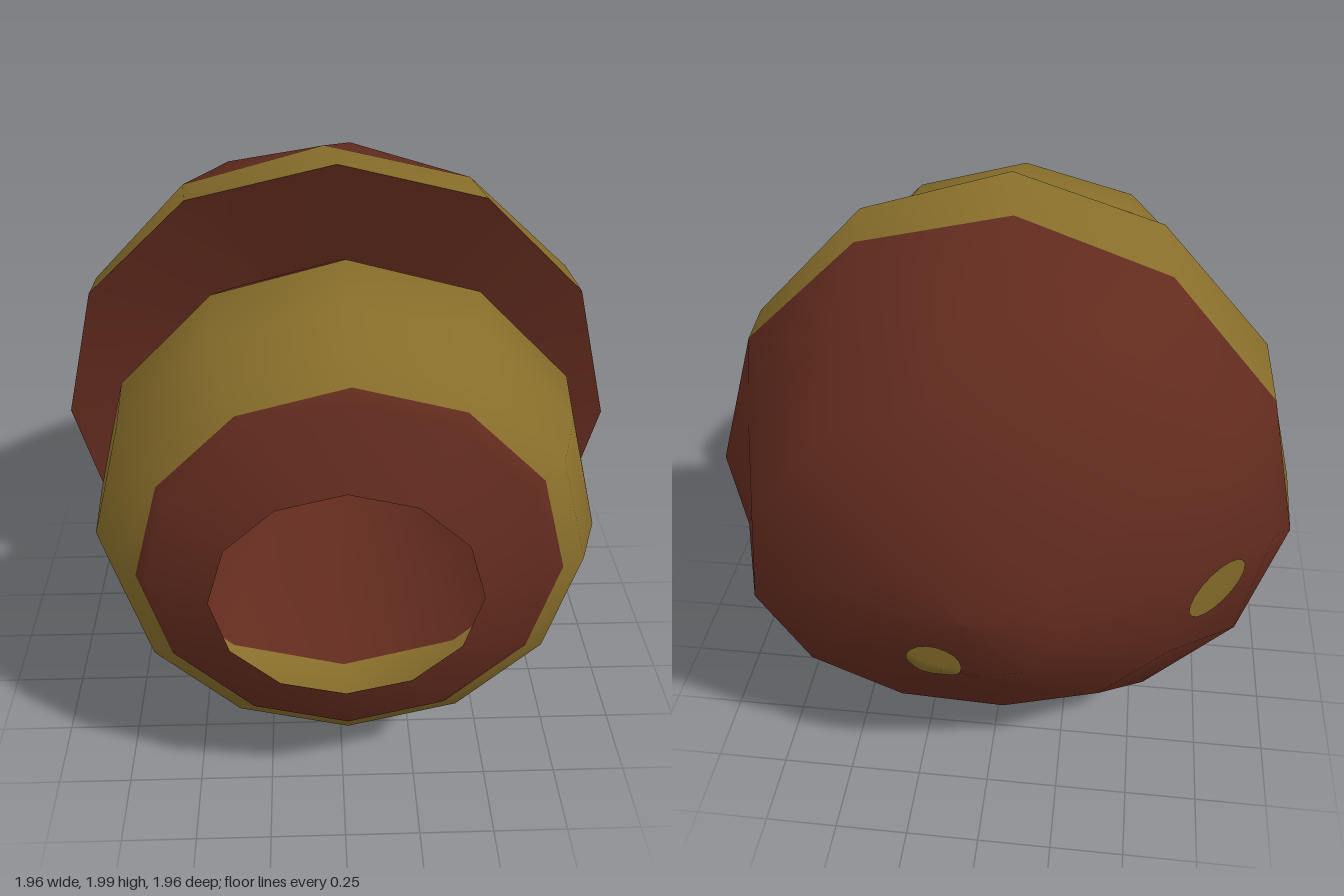
import * as THREE from 'three';

const SIDES = 12;
// The pot is a thin open shell, so both colours show from inside too
const brown = new THREE.MeshStandardMaterial({ color: 0x622b1e, side: THREE.DoubleSide });
brown.name = 'redBrownClay';
const ochre = new THREE.MeshStandardMaterial({ color: 0x886e2b, side: THREE.DoubleSide });
ochre.name = 'ochrePaint';

// A cross-section round the z axis: radii, centre, saddle bend, tilts in z,
// turn in degrees and hand-made unevenness in z per corner
const ring = (z, rx, ry = rx, cx = 0, cy = 1, bend = 0, tiltX = 0, tiltY = 0, turn = 0, uneven = []) =>
  ({ z, rx, ry, cx, cy, bend, tiltX, tiltY, turn, uneven });

// Skin joining rings in order; bands lists the material index of each strip
function skin(name, rings, bands) {
  const pos = [], index = [];
  const geo = new THREE.BufferGeometry();
  for (const r of rings) {
    for (let j = 0; j < SIDES; j++) {
      const a = (j / SIDES) * Math.PI * 2 + THREE.MathUtils.degToRad(r.turn);
      const s = Math.sin(a), c = Math.cos(a);
      pos.push(r.cx + r.rx * s, r.cy + r.ry * c,
        r.z + r.bend * Math.cos(2 * a) + r.tiltX * s + r.tiltY * c + (r.uneven[j] ?? 0));
    }
  }
  for (let i = 0; i < rings.length - 1; i++) {
    geo.addGroup(index.length, SIDES * 6, bands[i]);
    for (let j = 0; j < SIDES; j++) {
      const k = (j + 1) % SIDES;
      const a = i * SIDES + j, b = a + SIDES, c = i * SIDES + k, d = c + SIDES;
      index.push(a, c, b, c, d, b);
    }
  }
  geo.setAttribute('position', new THREE.Float32BufferAttribute(pos, 3));
  geo.setIndex(index);
  geo.computeVertexNormals();
  const mesh = new THREE.Mesh(geo, [brown, ochre]);
  mesh.name = name;
  return mesh;
}

// Thin painted spot laid on a wall along parallel rays from a small disc
function spot(name, wall, target, from, rx, ry) {
  const start = new THREE.Vector3(...from);
  const dir = new THREE.Vector3(...target).sub(start).normalize();
  const geo = new THREE.RingGeometry(0.001, 1, 18, 4);
  const p = geo.attributes.position;
  // Aim the disc's front back along the ray, keeping it upright
  const aim = new THREE.Matrix4().lookAt(start, start.clone().add(dir), new THREE.Vector3(0, 1, 0));
  const caster = new THREE.Raycaster();
  for (let i = 0; i < p.count; i++) {
    const o = new THREE.Vector3(p.getX(i) * rx, p.getY(i) * ry, 0).applyMatrix4(aim).add(start);
    caster.set(o, dir);
    const q = caster.intersectObject(wall)[0].point.addScaledVector(dir, -0.006);
    p.setXYZ(i, q.x, q.y, q.z);
  }
  geo.computeVertexNormals();
  const mesh = new THREE.Mesh(geo, ochre);
  mesh.name = name;
  return mesh;
}

export function createModel() {
  const model = new THREE.Group();
  model.name = 'pot';

  // Bulbous neck, from the mouth back to the narrow throat
  const throat = ring(-0.165, 0.345, 0.34, 0, 1.02);
  model.add(skin('neck', [
    ring(0.98, 0.4, 0.375, 0, 1.025),
    ring(0.89, 0.60, 0.60, 0.01, 1.03),
    ring(0.86, 0.635, 0.63, 0.015, 1.035),
    ring(0.79, 0.715, 0.71, 0.015, 1.01),
    ring(0.62, 0.785, 0.785, 0.01, 1.01),
    ring(0.40, 0.805, 0.815, 0.015, 1.015),
    ring(0.175, 0.68, 0.695, 0, 1.045, 0, 0, 0.025),
    throat,
  ], [0, 0, 1, 1, 1, 0, 0]));

  // Large domed body, from its rim back to the pole
  const rim = ring(-0.022, 0.98, 0.99, 0, 1.01, 0.063, 0.035, 0.02, 0, [0, -0.025, -0.03, 0, 0.015]);
  const body = skin('body', [
    rim,
    ring(-0.245, 0.98, 0.985, 0, 0.99, 0.055, 0.045, -0.01, -2),
    ring(-0.51, 0.872, 0.868, -0.025, 1.005, 0, 0.03, -0.05, 6),
    ring(-0.795, 0.675, 0.665, 0.037, 1.045, 0.035, -0.02, -0.04, 8),
    ring(-0.95, 0.30, 0.25, 0.02, 1.03, 0, 0.01, -0.01, 5),
    ring(-0.98, 0, 0, 0.03, 1.04),
  ], [1, 0, 0, 0, 0]);
  model.add(body);

  // Dished face sloping from the throat out to the rim
  model.add(skin('bodyFrontFace', [throat, rim], [0]));

  // Painted spots: one through the back wall, one on its side
  body.updateMatrixWorld(true);
  model.add(spot('backSpot', body, [0.13, 0.83, -0.93], [0.13, 0.83, -1.9], 0.088, 0.088));
  model.add(spot('floorSpot', body, [0.13, 0.83, -0.93], [0.13, 0.83, -0.3], 0.088, 0.088));
  model.add(spot('sideSpot', body, [-0.7, 1.01, -0.69], [-1.43, 1.01, -1.39], 0.12, 0.112));

  // Centre the model and stand it on the ground
  const box = new THREE.Box3().setFromObject(model);
  const mid = box.getCenter(new THREE.Vector3());
  model.position.set(-mid.x, -box.min.y, -mid.z);
  return model;
}
